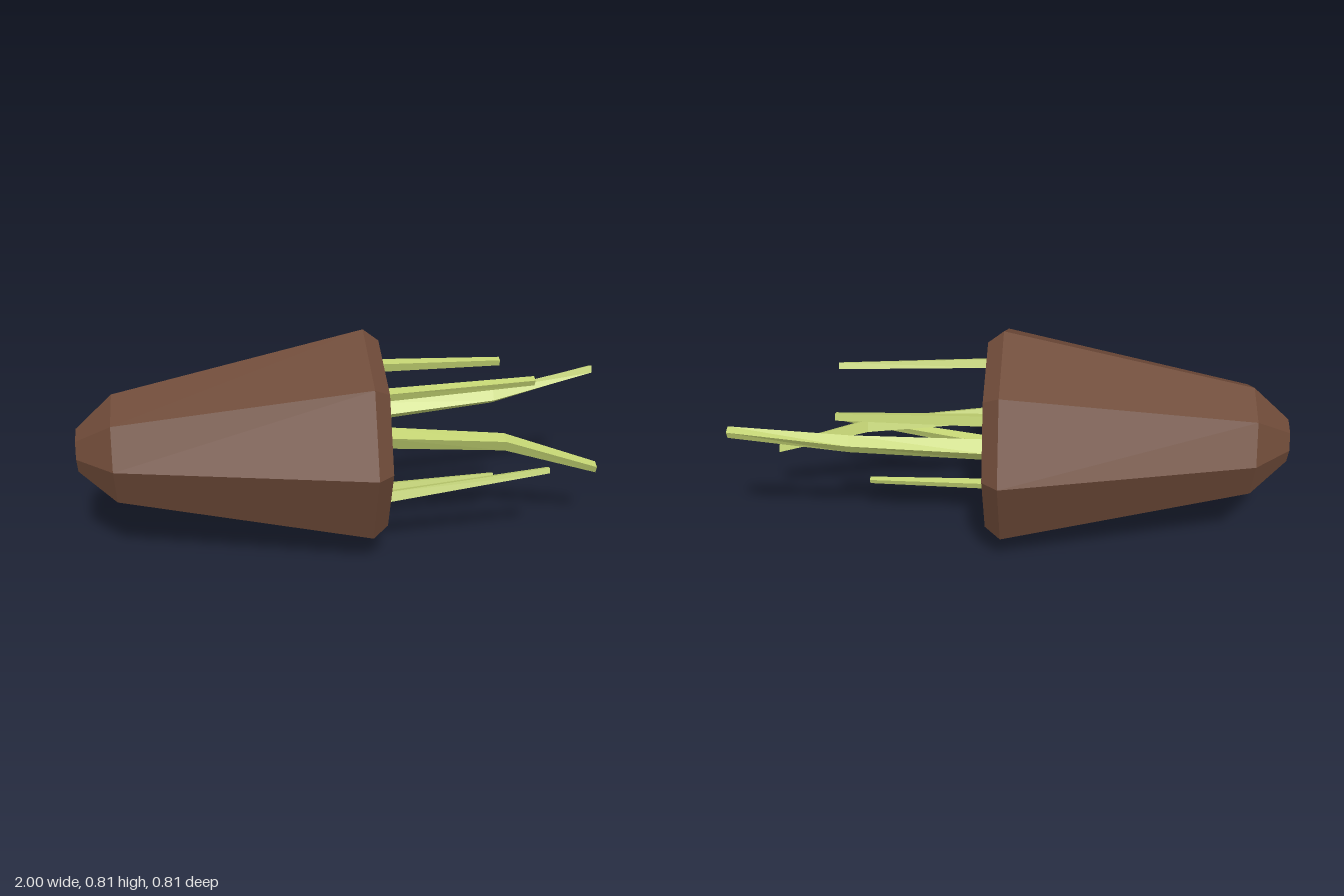
import * as THREE from 'three';

const AXIS_Y = 0.407; // height of the body's long axis

// Square tapering stem through sections [x, y, z, size, roll], closed at both ends.
function stemGeometry(sections) {
  const corners = [[1, 1], [1, -1], [-1, -1], [-1, 1]];
  const positions = [];
  const index = [];
  for (const [x, y, z, size, roll] of sections) {
    const c = Math.cos(roll) * size / 2;
    const s = Math.sin(roll) * size / 2;
    for (const [u, v] of corners) positions.push(x, y + u * s + v * c, z + u * c - v * s);
  }
  const last = (sections.length - 1) * 4;
  for (let ring = 0; ring < last; ring += 4) {
    for (let i = 0; i < 4; i++) {
      const a = ring + i;
      const b = ring + (i + 1) % 4;
      index.push(a, b, b + 4, a, b + 4, a + 4);
    }
  }
  index.push(0, 2, 1, 0, 3, 2);
  index.push(last, last + 1, last + 2, last, last + 2, last + 3);
  const geometry = new THREE.BufferGeometry();
  geometry.setAttribute('position', new THREE.Float32BufferAttribute(positions, 3));
  geometry.setIndex(index);
  geometry.computeVertexNormals();
  return geometry;
}

export function createModel() {
  const model = new THREE.Group();
  model.name = 'rootVegetable';

  const brown = new THREE.MeshStandardMaterial({ color: 0x6e4a38, flatShading: true });
  brown.name = 'brown skin';
  const green = new THREE.MeshStandardMaterial({ color: 0xc0d070, flatShading: true });
  green.name = 'green stem';

  // Eight-sided body lying along x, narrow tip at -x, bevelled rim at +x
  const profile = [[0, -1], [0.083, -1], [0.208, -0.865], [0.407, 0.035], [0.362, 0.092], [0, 0.092]]
    .map(([r, x]) => new THREE.Vector2(r, x));
  const bodyGeometry = new THREE.LatheGeometry(profile, 8);
  bodyGeometry.rotateZ(-Math.PI / 2);
  const body = new THREE.Mesh(bodyGeometry, brown);
  body.name = 'body';
  body.position.y = AXIS_Y;
  model.add(body);

  // Stems growing from the wide end
  const stems = {
    droopingStem: [[0.08, 0.427, 0.092, 0.056, -0.43], [0.56, 0.372, 0.077, 0.046, -0.38], [0.92, 0.25, 0.093, 0.03, -0.4]],
    risingStem: [[0.08, 0.42, -0.16, 0.057, -0.91], [0.58, 0.446, -0.19, 0.045, -1.0], [0.995, 0.514, -0.248, 0.029, -1.2]],
    lowerFrontStem: [[0.08, 0.236, 0.197, 0.038, 0.35], [0.69, 0.319, 0.227, 0.021, 0.3]],
    upperFrontStem: [[0.08, 0.616, 0.147, 0.033, -0.34], [0.655, 0.617, 0.089, 0.024, -0.4]],
    upperBackStem: [[0.08, 0.582, -0.233, 0.037, -0.25], [0.61, 0.577, -0.226, 0.024, -0.25]],
    lowerStem: [[0.08, 0.173, 0, 0.028, 0.3], [0.55, 0.186, -0.018, 0.018, 0.3]],
  };
  for (const [name, sections] of Object.entries(stems)) {
    const stem = new THREE.Mesh(stemGeometry(sections), green);
    stem.name = name;
    model.add(stem);
  }

  return model;
}
